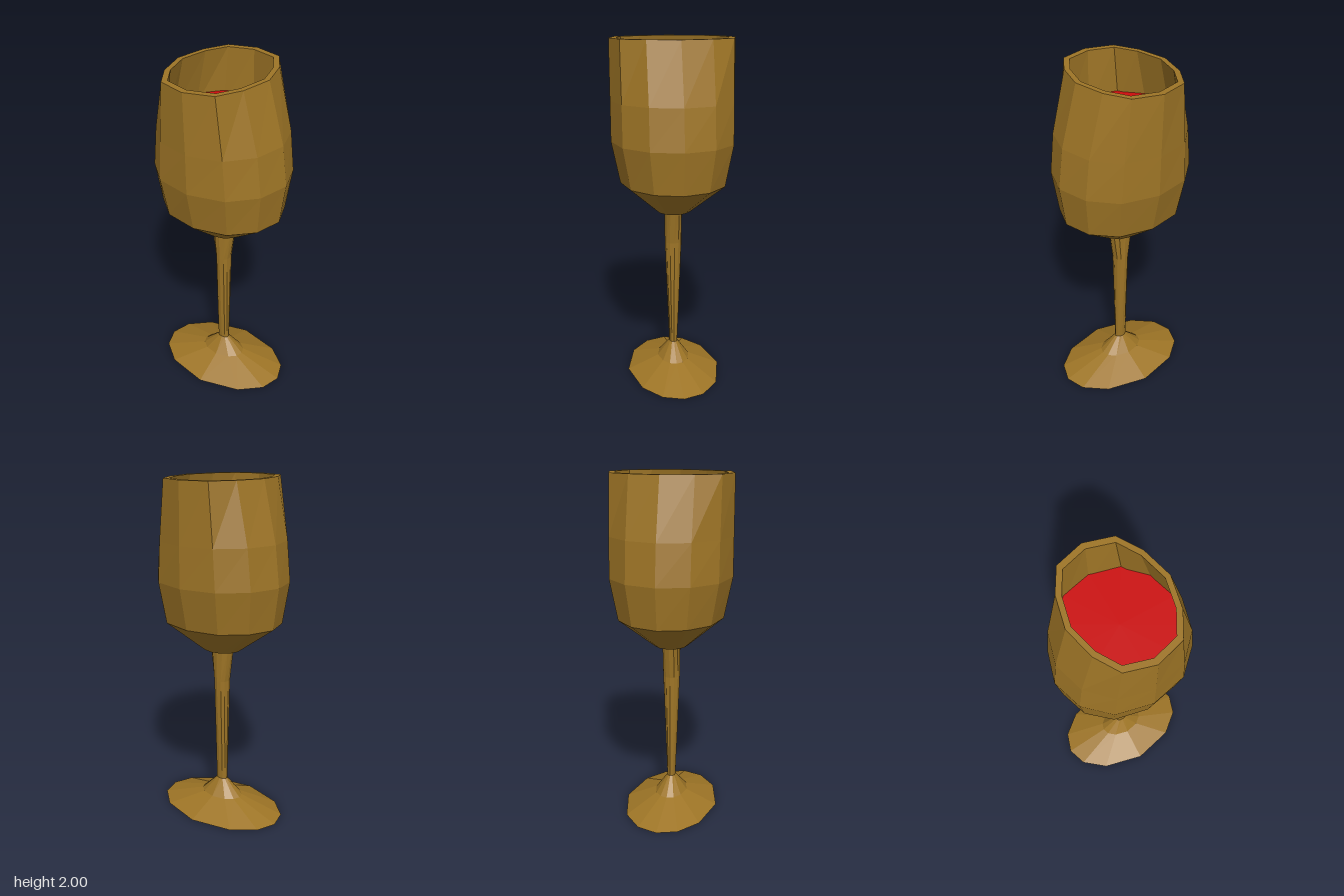
import * as THREE from 'three';

const SIDES = 12;
// quarter outlines (first quadrant) that are mirrored around each ring
const ROUND = { x: [1, 0.866, 0.525, 0], z: [0, 0.5, 0.866, 1] };
const RIM = { x: [1, 0.85, 0.573, 0], z: [0, 0.5, 0.87, 1] };
const FOOT = { x: [1, 0.905, 0.6, 0], z: [0, 0.42, 0.79, 1] };

// point i of a ring [y, rx, rz, xOffset, outline]
function ringPoint([y, rx, rz, ox = 0, outline = ROUND], i) {
  i = i % SIDES;
  const quarter = Math.floor(i / 3);
  const k = quarter % 2 ? 3 - (i % 3) : i % 3;
  const sx = quarter === 1 || quarter === 2 ? -1 : 1;
  const sz = quarter >= 2 ? -1 : 1;
  return [ox + sx * outline.x[k] * rx, y, sz * outline.z[k] * rz];
}

// skin a list of oval rings, ordered from the bottom centre, up the outside, then inward
function loft(rings) {
  const pos = [];
  for (let r = 0; r < rings.length - 1; r++) {
    const low = rings[r], high = rings[r + 1];
    for (let i = 0; i < SIDES; i++) {
      const a = ringPoint(low, i), b = ringPoint(low, i + 1);
      const c = ringPoint(high, i), d = ringPoint(high, i + 1);
      if (low[1] > 0) pos.push(...a, ...c, ...b);
      if (high[1] > 0) pos.push(...b, ...c, ...d);
    }
  }
  const geo = new THREE.BufferGeometry();
  geo.setAttribute('position', new THREE.Float32BufferAttribute(pos, 3));
  geo.computeVertexNormals();
  return geo;
}

export function createModel() {
  const group = new THREE.Group();
  group.name = 'goblet';
  const bronze = new THREE.MeshStandardMaterial({ color: 0x9e7526 });
  bronze.name = 'bronze';
  const red = new THREE.MeshStandardMaterial({ color: 0xcc0d0d });
  red.name = 'red wine';

  const add = (name, rings, material) => {
    const mesh = new THREE.Mesh(loft(rings), material);
    mesh.name = name;
    group.add(mesh);
  };

  // hollow foot: underside first, then the sloping top
  add('foot', [
    [0.15, 0, 0, 0, FOOT],
    [0.15, 0.03, 0.02, 0, FOOT],
    [0.065, 0.125, 0.09, 0, FOOT],
    [0, 0.408, 0.28, 0, FOOT],
    [0.083, 0.137, 0.095, 0, FOOT],
    [0.18, 0.036, 0.024],
    [0.18, 0, 0],
  ], bronze);

  // slim stem flaring at the top
  add('stem', [
    [0.17, 0.036, 0.024],
    [0.82, 0.045, 0.05],
    [1.02, 0.074, 0.052],
  ], bronze);

  // bowl with a flat rim and an inner wall
  add('bowl', [
    [1.015, 0, 0],
    [1.015, 0.116, 0.1],
    [1.19, 0.363, 0.306, -0.002],
    [1.43, 0.396, 0.355, -0.003],
    [1.66, 0.367, 0.355, -0.004],
    [2, 0.278, 0.355, -0.01, RIM],
    [2, 0.248, 0.318, -0.01, RIM],
    [1.66, 0.332, 0.318, -0.004],
  ], bronze);

  // surface of the wine
  add('wine', [
    [1.74, 0.318, 0.32, -0.005],
    [1.74, 0, 0, -0.005],
  ], red);

  return group;
}
